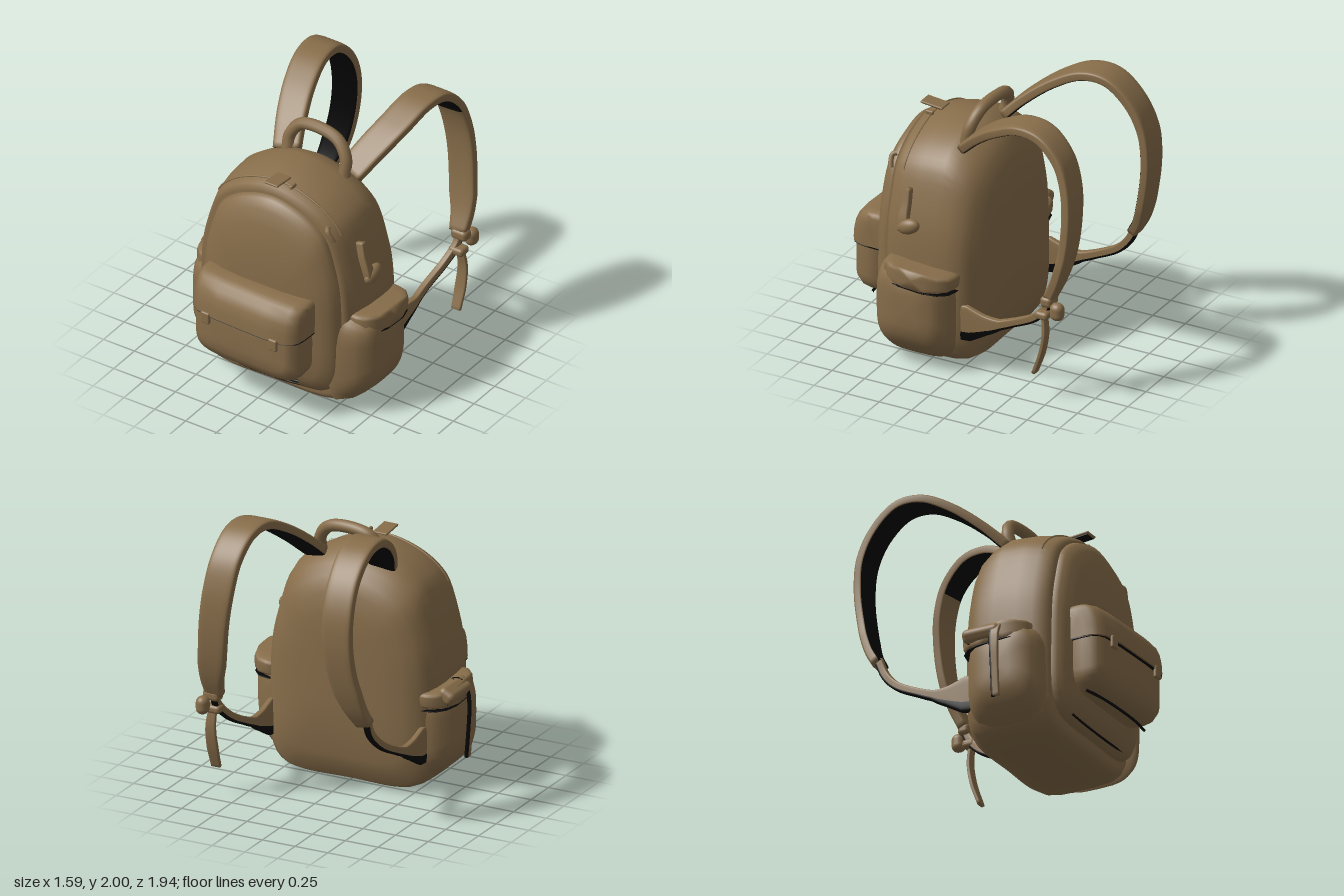
import * as THREE from 'three';
import { RoundedBoxGeometry } from 'three/addons/geometries/RoundedBoxGeometry.js';
import { toCreasedNormals } from 'three/addons/utils/BufferGeometryUtils.js';

const V = (x, y, z) => new THREE.Vector3(x, y, z);

// Closed skin over equal-length loops with capped ends; columns from, to use the
// second material along the first `part` of the length
function skin(loops, [from, to, part] = [0, 0, 0]) {
  const n = loops[0].length;
  const collapse = loop => {
    const c = loop.reduce((s, p) => s.add(p), V(0, 0, 0)).divideScalar(n);
    return loop.map(() => c.clone());
  };
  const all = [collapse(loops[0]), ...loops, collapse(loops[loops.length - 1])];
  const main = [], dark = [];
  for (let i = 0; i < all.length - 1; i++) {
    for (let j = 0; j < n; j++) {
      const k = (j + 1) % n, a = i * n, b = a + n;
      const list = j >= from && j < to && i < part * all.length ? dark : main;
      list.push(a + j, a + k, b + k, a + j, b + k, b + j);
    }
  }
  const g = new THREE.BufferGeometry().setFromPoints(all.flat());
  g.setIndex([...main, ...dark]);
  g.addGroup(0, main.length, 0);
  g.addGroup(main.length, dark.length, 1);
  g.computeVertexNormals();
  return g;
}

// Loft an outline along z; each ring is [z, halfWidth, bottom, top]
const loft = (outline, rings) => skin(rings.map(([z, w, y0, y1]) =>
  outline.map(p => V(p.x * w, y0 + (y1 - y0) * p.y, z))));

// Flat, round-edged ribbon along a path, with half widths spread along it
function ribbon(points, halfWidths, halfThick, widthDir, dark, steps = 48) {
  const curve = new THREE.CatmullRomCurve3(points);
  const loops = [];
  for (let i = 0; i <= steps; i++) {
    const t = i / steps, T = curve.getTangentAt(t), P = curve.getPointAt(t);
    const W = widthDir.clone().addScaledVector(T, -widthDir.dot(T)).normalize();
    const N = T.clone().cross(W);
    const f = t * (halfWidths.length - 1), k = Math.min(Math.floor(f), halfWidths.length - 2);
    const hw = THREE.MathUtils.lerp(halfWidths[k], halfWidths[k + 1], f - k);
    loops.push(roundRect.map(p => P.clone().addScaledVector(W, p.x * hw)
      .addScaledVector(N, (p.y * 2 - 1) * halfThick)));
  }
  return skin(loops, dark);
}

// Soft rectangles: x from -1 to 1, y from 0 to 1; a higher power is rounder
const softRect = power => Array.from({ length: 40 }, (_, i) => {
  const a = i / 40 * Math.PI * 2, f = v => Math.sign(v) * Math.abs(v) ** power;
  return new THREE.Vector2(f(Math.cos(a)), 0.5 + 0.5 * f(Math.sin(a)));
});
const roundRect = softRect(0.4), softPocket = softRect(0.55);
const EDGE = [11, 29, 1]; // lower edge of a ribbon

// Arched bag outline
const archHalf = [[0.6, 0], [0.82, 0.022], [0.94, 0.07], [1, 0.15], [1, 0.42], [0.97, 0.6],
  [0.9, 0.72], [0.79, 0.845], [0.66, 0.905], [0.4, 0.965]];
const arch = new THREE.CatmullRomCurve3([V(0, 0, 0), ...archHalf.map(([x, y]) => V(x, y, 0)),
  V(0, 1, 0), ...archHalf.map(([x, y]) => V(-x, y, 0)).reverse()], true).getSpacedPoints(96).slice(0, 96);

export function createModel() {
  const root = new THREE.Group();
  const canvas = new THREE.MeshStandardMaterial({ color: 0x876d4a });
  canvas.name = 'brown canvas';
  const lining = new THREE.MeshStandardMaterial({ color: 0x050505 });
  lining.name = 'black lining';
  const add = (name, geometry, parent = root, material = canvas) => {
    const m = new THREE.Mesh(geometry, material);
    m.name = name;
    parent.add(m);
    return m;
  };
  const addRibbon = (name, geometry) => add(name, geometry, root, [canvas, lining]);
  const tube = (pts, r, n = 64) => new THREE.TubeGeometry(new THREE.CatmullRomCurve3(pts), n, r, 10);

  // Main bag and its bulging front panel
  add('body', loft(arch, [
    [-0.135, 0.16, 0.6, 1.1], [-0.128, 0.32, 0.42, 1.25], [-0.105, 0.46, 0.2, 1.39],
    [-0.06, 0.55, 0.04, 1.49], [0, 0.605, 0.01, 1.56], [0.08, 0.63, 0, 1.62],
    [0.18, 0.64, 0, 1.655], [0.35, 0.64, 0, 1.64], [0.47, 0.625, 0.005, 1.615],
    [0.54, 0.6, 0.03, 1.59], [0.58, 0.565, 0.08, 1.555]]));
  add('frontPanel', loft(arch, [
    [0.5, 0.54, 0.12, 1.53], [0.58, 0.55, 0.115, 1.55], [0.62, 0.535, 0.125, 1.535],
    [0.66, 0.5, 0.16, 1.47], [0.695, 0.44, 0.22, 1.37], [0.725, 0.34, 0.32, 1.22],
    [0.742, 0.2, 0.5, 1.05]])).position.x = 0.015;
  add('zipLine', tube(arch.map(p => V(p.x * 0.622, 0.01 + 1.602 * p.y, 0.48)).filter(p => p.y > 1.35), 0.008));
  add('panelBottomSeam', tube([V(-0.36, 0.155, 0.64), V(-0.2, 0.14, 0.648), V(0.15, 0.14, 0.648), V(0.34, 0.155, 0.64)],
    0.008, 24), root, lining);

  // Front pocket with overhanging flap and two tabs
  const pocket = new THREE.Group();
  pocket.name = 'frontPocket';
  pocket.position.set(-0.01, 0, 0.68);
  pocket.rotation.y = -0.04;
  root.add(pocket);
  add('pocketBag', loft(roundRect, [[-0.06, 0.42, 0.29, 0.85], [0.1, 0.43, 0.285, 0.85],
    [0.16, 0.425, 0.295, 0.83], [0.21, 0.4, 0.33, 0.8], [0.235, 0.35, 0.39, 0.74], [0.245, 0.2, 0.46, 0.66]]), pocket);
  const flapSide = [[0, 0], [0, 1], [-0.3, 1], [-0.5, 0.98], [-0.68, 0.91], [-0.82, 0.77], [-0.92, 0.55], [-0.98, 0.28], [-1, 0]]
    .map(([x, y]) => new THREE.Vector2(x, y));
  const flapHalf = [[0.44, 0.12, 0.88], [0.432, 0.18, 0.905], [0.41, 0.22, 0.917], [0.36, 0.255, 0.922], [0.2, 0.275, 0.925]];
  const flapRings = [...flapHalf.map(([x, w, y]) => [-x, w, y]), ...[...flapHalf].reverse()];
  const flap = loft(flapSide, flapRings.map(([x, w, y]) => [x, w, 0.665, y]));
  add('pocketFlap', toCreasedNormals(flap.rotateY(Math.PI / 2), 0.8), pocket);
  const under = loft(flapSide, flapRings.map(([x, w]) => [x, w - 0.004, 0.656, 0.665]));
  add('flapLining', toCreasedNormals(under.rotateY(Math.PI / 2), 0.8), pocket, lining);
  add('pocketBottomSeam', tube([V(-0.38, 0.291, 0.1), V(-0.2, 0.288, 0.13), V(0.2, 0.288, 0.13), V(0.38, 0.291, 0.1)],
    0.01, 24), pocket, lining);
  for (const x of [-0.28, 0.28]) {
    add('flapTab', new RoundedBoxGeometry(0.07, 0.09, 0.03, 3, 0.012), pocket).position.set(x, 0.64, 0.264);
  }

  // Side pockets with raised cuffs
  for (const s of [1, -1]) {
    const g = new THREE.Group();
    g.name = s > 0 ? 'leftSidePocket' : 'rightSidePocket';
    g.position.set(s > 0 ? 0 : 0.045, 0, s > 0 ? 0.31 : 0.27);
    g.rotation.y = s * Math.PI / 2;
    root.add(g);
    add('sidePocketBag', loft(softPocket, [[0.5, 0.33, 0.02, 0.78], [0.6, 0.305, 0.06, 0.77],
      [0.67, 0.28, 0.12, 0.75], [0.73, 0.24, 0.18, 0.73], [0.77, 0.18, 0.26, 0.69], [0.785, 0.09, 0.34, 0.58]]), g);
    const cuffRings = [[0.5, 0.275], [0.64, 0.268], [0.71, 0.25], [0.765, 0.19], [0.792, 0.1]];
    for (const [name, y0, y1, grow, material] of [['sidePocketCuff', 0.635, 0.765, 0, canvas], ['cuffLining', 0.626, 0.635, -0.002, lining]]) {
      add(name, loft(roundRect, cuffRings.map(([z, w]) => [z + grow, w, y0, y1])), g, material).rotation.z = -s * 0.07;
    }
  }

  // Carry handle
  add('handle', tube([V(-0.2, 1.58, 0.09), V(-0.2, 1.68, 0.06), V(-0.13, 1.775, 0.035), V(0.03, 1.805, 0.04),
    V(0.19, 1.775, 0.06), V(0.27, 1.68, 0.09), V(0.28, 1.55, 0.12)], 0.043));

  // Padded shoulder straps with black inner faces; the left one is lower and further out
  const X = V(1, 0, 0);
  const strapWidths = [0.1, 0.11, 0.115, 0.115, 0.11, 0.11, 0.105, 0.1, 0.065];
  addRibbon('rightShoulderStrap', ribbon([V(-0.21, 1.57, 0.08), V(-0.27, 1.71, -0.06), V(-0.335, 1.86, -0.26),
    V(-0.375, 1.95, -0.46), V(-0.39, 1.94, -0.64), V(-0.395, 1.8, -0.81), V(-0.4, 1.6, -0.91),
    V(-0.405, 1.37, -0.93), V(-0.43, 1.1, -0.89), V(-0.48, 0.88, -0.82), V(-0.515, 0.76, -0.75)],
  strapWidths, 0.037, X, [3, 17, 1], 64));
  addRibbon('leftShoulderStrap', ribbon([V(0.3, 1.57, 0.08), V(0.37, 1.7, -0.06), V(0.445, 1.83, -0.24),
    V(0.49, 1.92, -0.45), V(0.51, 1.9, -0.62), V(0.53, 1.76, -0.77), V(0.55, 1.57, -0.84),
    V(0.575, 1.35, -0.86), V(0.6, 1.1, -0.84), V(0.63, 0.9, -0.79), V(0.64, 0.76, -0.73)],
  strapWidths, 0.037, X, [3, 17, 0.52], 64));

  // Lower webbing, widening into the anchor tabs on the bag
  for (const s of [1, -1]) {
    const e = s > 0 ? 0.64 : 0.53;
    addRibbon('lowerStrap', ribbon([V(s * 0.57, 0.36, 0.05), V(s * 0.575, 0.365, -0.05), V(s * 0.575, 0.395, -0.25),
      V(s * 0.575, 0.46, -0.42), V(s * (0.575 + e) / 2, 0.56, -0.6), V(s * e, 0.67, -0.7), V(s * e, 0.79, -0.75)],
    [0.135, 0.13, 0.075, 0.036, 0.03, 0.03, 0.03, 0.03, 0.03], 0.024, V(0, 1, 0.3), EDGE));
  }

  // Strap buckle, keeper and loose tail on the left
  add('strapBuckle', new RoundedBoxGeometry(0.13, 0.08, 0.09, 4, 0.03)).position.set(0.655, 0.745, -0.73);
  add('buckleLoop', new RoundedBoxGeometry(0.09, 0.13, 0.1, 5, 0.045)).position.set(0.69, 0.69, -0.81);
  add('strapKeeper', new RoundedBoxGeometry(0.12, 0.06, 0.1, 4, 0.025)).position.set(0.66, 0.635, -0.695);
  add('strapTail', ribbon([V(0.67, 0.64, -0.7), V(0.68, 0.5, -0.715), V(0.68, 0.35, -0.69), V(0.68, 0.19, -0.635)],
    [0.03, 0.038, 0.042, 0.036], 0.014, X, [0, 0, 0], 20), root, [canvas, lining]);

  // Curved pull on the left side
  addRibbon('sidePull', ribbon([V(0.585, 1.28, 0.385), V(0.615, 1.18, 0.39), V(0.65, 1.08, 0.39), V(0.67, 1.0, 0.375)],
    [0.018, 0.03, 0.035, 0.045], 0.03, V(0, 0, 1), [0, 0, 0], 20));
  const foot = add('sidePullFoot', new THREE.SphereGeometry(1, 20, 14));
  foot.scale.set(0.045, 0.055, 0.088);
  foot.position.set(0.665, 1.035, 0.35);
  foot.rotation.x = 0.35;

  // Zip pulls
  const topPull = add('topZipPull', new RoundedBoxGeometry(0.11, 0.016, 0.17, 2, 0.007));
  topPull.position.set(0, 1.635, 0.51);
  topPull.rotation.x = -0.1;
  add('topPullLining', new THREE.BoxGeometry(0.09, 0.006, 0.14), topPull, lining).position.y = -0.01;
  add('zipSlider', new RoundedBoxGeometry(0.025, 0.03, 0.06, 2, 0.01)).position.set(0.11, 1.615, 0.49);
  add('sideZipPull', tube([V(0.44, 1.44, 0.56), V(0.455, 1.43, 0.585), V(0.48, 1.39, 0.585), V(0.5, 1.35, 0.575)], 0.018, 16));

  // Buckled flap and hanging web on the right side
  const pouch = add('sideBuckleFlap', new RoundedBoxGeometry(0.13, 0.1, 0.29, 4, 0.04));
  pouch.position.set(-0.715, 0.715, 0.155);
  pouch.rotation.z = 0.5;
  add('buckleFlapLining', new THREE.BoxGeometry(0.08, 0.008, 0.23), pouch, lining).position.y = -0.049;
  addRibbon('sideWeb', ribbon([V(-0.62, 0.74, 0.27), V(-0.7, 0.765, 0.27), V(-0.765, 0.7, 0.27), V(-0.78, 0.6, 0.27),
    V(-0.77, 0.4, 0.27), V(-0.755, 0.21, 0.27)], [0.04, 0.035, 0.03, 0.03], 0.013, V(0, 0, 1), EDGE, 32));
  return root;
}
